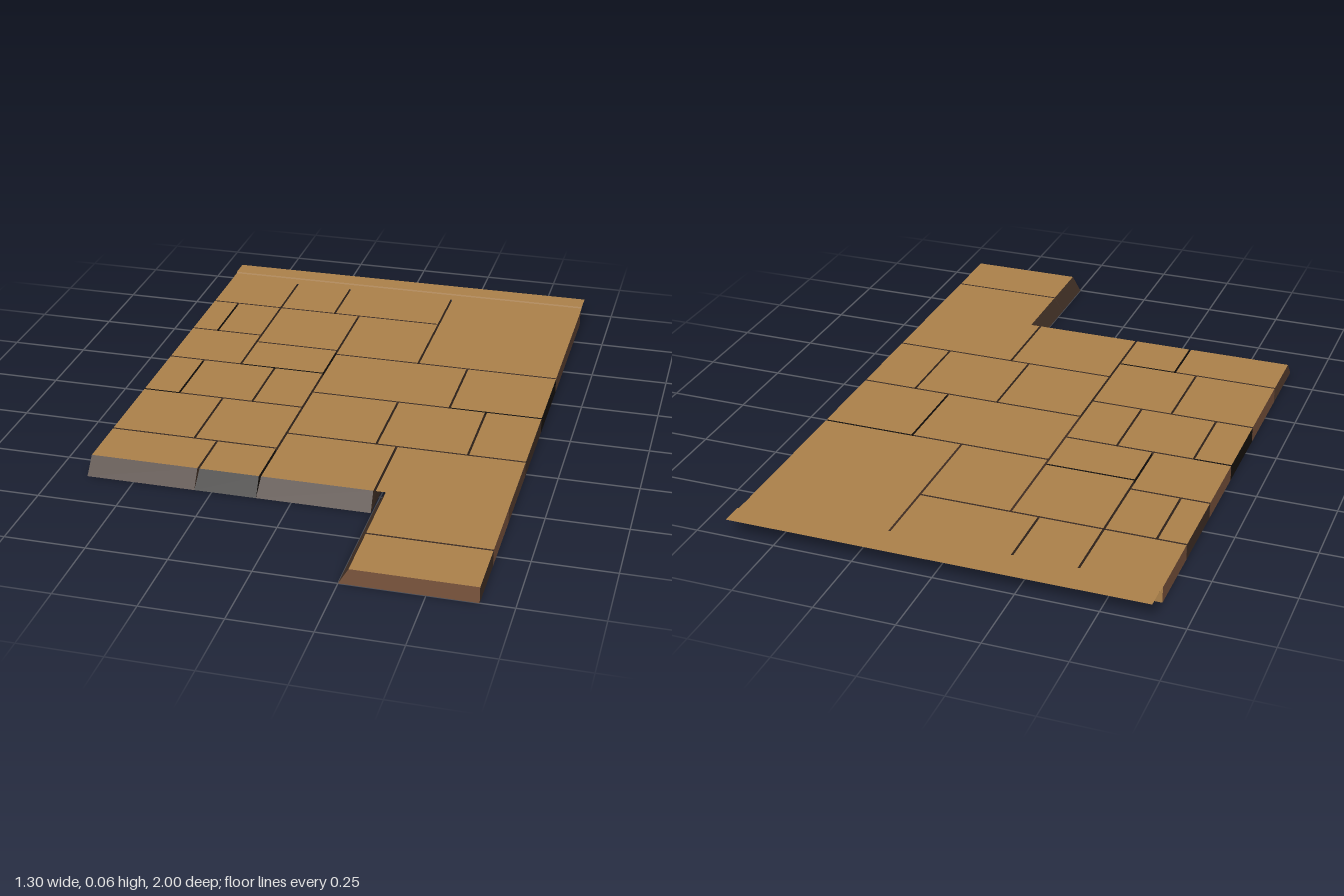
import * as THREE from 'three';

const paint = (name, color) => {
  const m = new THREE.MeshStandardMaterial({ color, side: THREE.DoubleSide });
  m.name = name;
  return m;
};

export function createModel() {
  const model = new THREE.Group();
  model.name = 'stoneFloor';
  const tan = paint('tanStone', 0xa97f49);
  const paints = {
    t: tan,
    r: paint('reddishStone', 0x7a543d),
    m: paint('brownStone', 0x5a4031),
    d: paint('darkBrownStone', 0x413026),
    b: paint('blackStone', 0x17120e),
  };

  const TOP = 0.051, GAP = 0.0035;
  const W = 0.65, BACK = -0.9, FRONT = 0.6, RIM = 0.555;

  // Hollow slab, open underneath, between a top and a bottom rectangle [x0, x1, z0, z1].
  // Wall colours are one letter each for +x, -x, front and back; '-' leaves a wall out.
  function slab(name, top, bottom, walls) {
    const g = new THREE.BoxGeometry(1, 1, 1);
    const p = g.attributes.position;
    for (let i = 0; i < p.count; i++) {
      const up = p.getY(i) > 0;
      const r = up ? top : bottom;
      p.setXYZ(i, p.getX(i) < 0 ? r[0] : r[1], up ? TOP : 0, p.getZ(i) < 0 ? r[2] : r[3]);
    }
    const faces = [walls[0], walls[1], 't', '-', walls[2], walls[3]];
    const source = Array.from(g.index.array);
    const index = [], materials = [];
    g.clearGroups();
    faces.forEach((letter, f) => {
      if (letter === '-') return;
      g.addGroup(index.length, 6, materials.length);
      index.push(...source.slice(f * 6, f * 6 + 6));
      materials.push(paints[letter]);
    });
    g.setIndex(index);
    g.computeVertexNormals();
    const mesh = new THREE.Mesh(g, materials);
    mesh.name = name;
    model.add(mesh);
  }

  const slabs = [
    // back rows
    [-W, -0.4, BACK, -0.665, 'drdt'],
    [-0.4, -0.2, BACK, -0.665, 'dddt'],
    [-0.2, 0.18, BACK, -0.665, 'dddt'],
    [0.18, W, BACK, -0.335, 'mmdt'],
    // middle rows
    [-W, -0.56, -0.665, -0.42, 'bddd'],
    [-0.56, -0.4, -0.665, -0.42, 'dddd'],
    [-W, -0.4, -0.42, -0.18, 'drdd'],
    [-0.4, -0.11, -0.665, -0.365, 'dddd'],
    [-0.4, -0.11, -0.365, -0.18, 'bbbb'],
    [-0.11, 0.18, -0.665, -0.335, 'dmdd'],
    [-0.11, 0.35, -0.335, -0.035, 'dmdd'],
    [0.35, W, -0.335, -0.035, 'bbbb'],
    [-W, -0.53, -0.18, 0.08, 'bbbb'],
    [-0.53, -0.28, -0.18, 0.08, 'dddd'],
    [-0.28, -0.11, -0.18, 0.08, 'dddd'],
    [-0.11, 0.18, -0.035, 0.265, 'dddd'],
    [0.18, 0.47, -0.035, 0.265, 'dddd'],
    [0.47, W, -0.035, 0.265, 'dddd'],
    [-W, -0.38, 0.08, 0.37, 'drdd'],
    [-0.38, -0.11, 0.08, 0.37, 'dddd'],
    // front row
    [-W, -0.305, 0.37, FRONT, 'dmdd'],
    [-0.305, -0.11, 0.37, FRONT, 'bbbb'],
    [-0.11, 0.245, 0.265, FRONT, 'dddd'],
  ];
  for (const [x0, x1, z0, z1, walls] of slabs) {
    // Joints open slightly at the top; outer walls are upright, the front rim slopes
    const top = [
      x0 === -W ? x0 : x0 + GAP,
      x1 === W ? x1 : x1 - GAP,
      z0 === BACK ? z0 : z0 + GAP,
      z1 === FRONT ? RIM : z1 - GAP,
    ];
    slab('pavingSlab', top, [x0, x1, z0, z1], walls);
  }

  // Projecting walkway with a sloping inner rim; its first slab is built in two joined parts
  slab('walkwayRear', [0.249, W, 0.2685, RIM], [0.245, W, 0.265, RIM], 'md-d');
  slab('walkwayMiddle', [0.28, W, RIM, 0.7965], [0.25, W, RIM, 0.799], 'rdd-');
  slab('walkwayEnd', [0.28, W, 0.8035, 1], [0.25, W, 0.801, 1], 'ddrd');

  // Thin lip along the back: a raised strip, a small step and a lower strip
  const profile = [[0.057, -1], [0.057, -0.93], [TOP + 0.001, -0.928], [TOP + 0.001, -0.888]];
  const strip = new THREE.PlaneGeometry(2 * W, 1, 1, profile.length - 1);
  const lp = strip.attributes.position;
  for (let i = 0; i < lp.count; i++) {
    const [y, z] = profile[Math.floor(i / 2)];
    lp.setXYZ(i, lp.getX(i), y, z);
  }
  const lip = strip.toNonIndexed();
  lip.computeVertexNormals();
  const lipMesh = new THREE.Mesh(lip, tan);
  lipMesh.name = 'backLip';
  model.add(lipMesh);

  return model;
}
